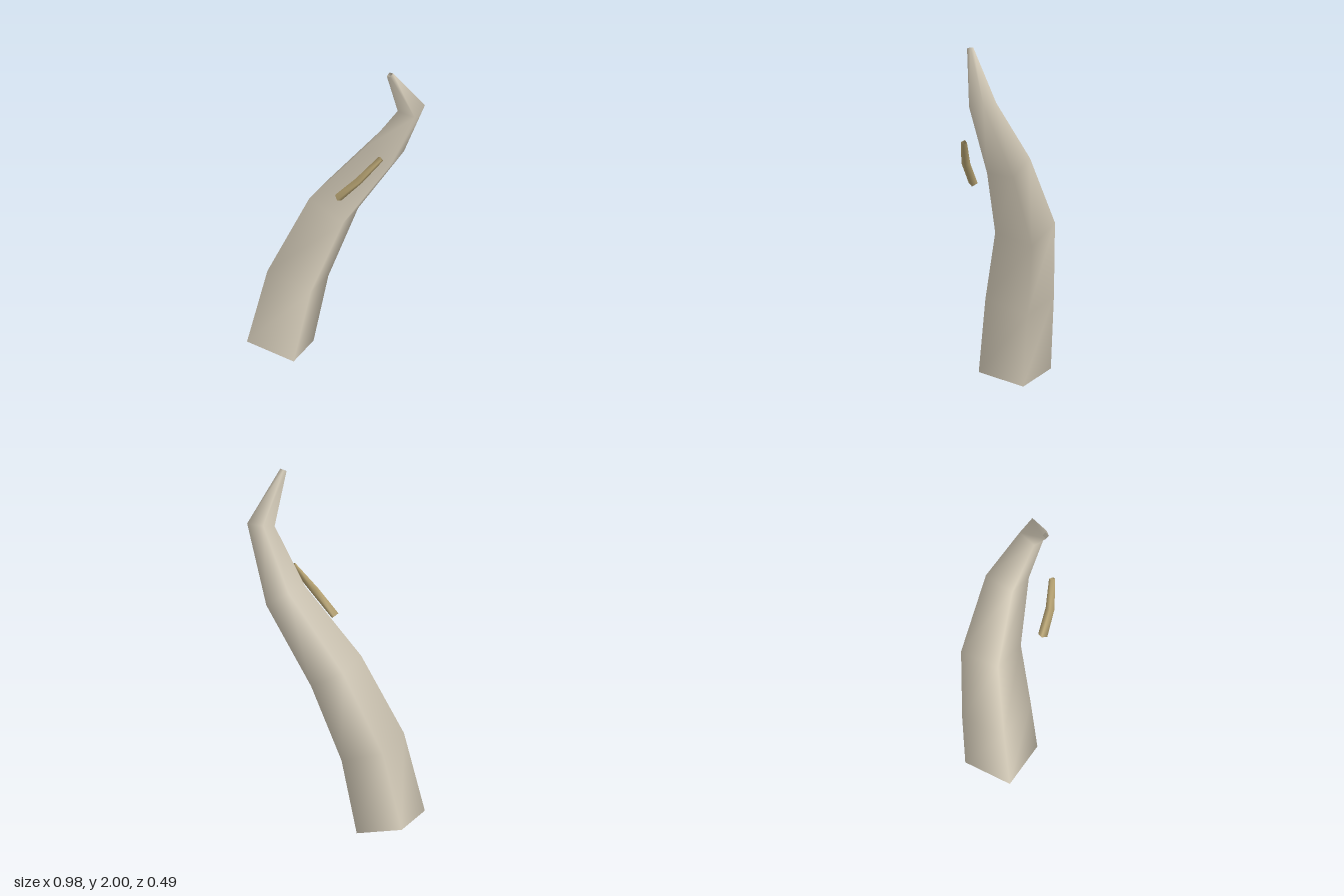
import * as THREE from 'three';

// Open four-sided tube. Each ring: centre, half-diagonal to the left corner, half-diagonal to the front corner.
function squareTube(rings) {
  const positions = [];
  const index = [];
  const corner = new THREE.Vector3();
  for (const [centre, left, front] of rings) {
    const c = new THREE.Vector3(...centre);
    const l = new THREE.Vector3(...left);
    const f = new THREE.Vector3(...front);
    for (const [d, sign] of [[l, 1], [f, 1], [l, -1], [f, -1]]) {
      corner.copy(c).addScaledVector(d, sign);
      positions.push(corner.x, corner.y, corner.z);
    }
  }
  for (let r = 0; r < rings.length - 1; r++) {
    for (let i = 0; i < 4; i++) {
      const a = r * 4 + i;
      const b = r * 4 + (i + 1) % 4;
      index.push(a, b, b + 4, a, b + 4, a + 4);
    }
  }
  const geometry = new THREE.BufferGeometry();
  geometry.setAttribute('position', new THREE.Float32BufferAttribute(positions, 3));
  geometry.setIndex(index);
  geometry.computeVertexNormals();
  return geometry;
}

export function createModel() {
  const bone = new THREE.MeshStandardMaterial({ color: 0xd8cfbc, side: THREE.DoubleSide });
  bone.name = 'pale bone';
  const tan = new THREE.MeshStandardMaterial({ color: 0xb8a473, side: THREE.DoubleSide });
  tan.name = 'tan';

  // Large curved horn, from the open base to the hooked tip
  const horn = new THREE.Mesh(squareTube([
    [[-0.31, 0.053, 0.022], [-0.18, 0.05, 0.079], [0.08, 0, 0.187]],
    [[-0.215, 0.485, -0.022], [-0.165, 0.065, 0.072], [0.075, 0, 0.178]],
    [[-0.02, 0.922, -0.087], [-0.132, 0.075, 0.062], [0.055, -0.022, 0.157]],
    [[0.263, 1.33, -0.045], [-0.103, 0.045, 0.045], [0.028, -0.04, 0.115]],
    [[0.413, 1.7, 0.073], [-0.074, -0.01, 0.018], [0.021, -0.01, 0.072]],
    [[0.298, 1.992, 0.163], [-0.017, -0.007, 0.004], [0.002, -0.003, 0.017]],
  ]), bone);
  horn.name = 'horn';

  // Small bent sliver beside the horn
  const sliver = new THREE.Mesh(squareTube([
    [[0.015, 1.169, 0.196], [-0.018, 0.015, -0.004], [-0.005, -0.001, 0.026]],
    [[0.131, 1.305, 0.217], [-0.017, 0.015, 0], [0, 0, 0.025]],
    [[0.25, 1.449, 0.206], [-0.013, 0.01, -0.003], [0.003, 0.002, 0.016]],
  ]), tan);
  sliver.name = 'sliver';

  const model = new THREE.Group();
  model.name = 'hornWithSliver';
  model.add(horn, sliver);
  return model;
}
